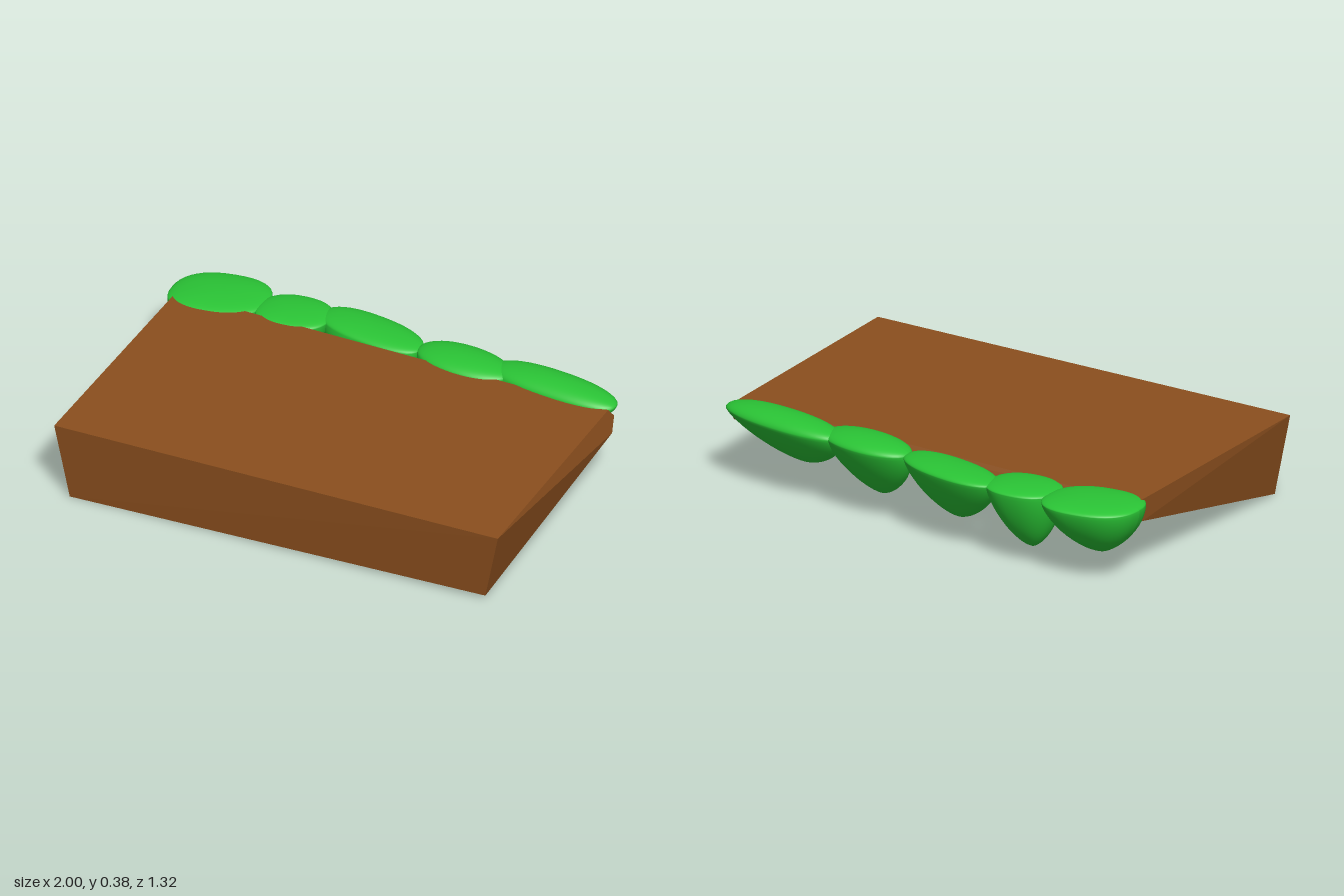
import * as THREE from 'three';
import { ConvexGeometry } from 'three/addons/geometries/ConvexGeometry.js';

const soil = new THREE.MeshStandardMaterial({ color: 0x8b4f1e, flatShading: true });
const grass = new THREE.MeshStandardMaterial({ color: 0x2ac435 });

// Signed power, used to square off an ellipse
const spow = (v, p) => Math.sign(v) * Math.pow(Math.abs(v), p);

// Grass clump: shallow domed top, lower half tapering to an offset rounded tip
function makeClump({ x, z, rx, rz, skew, top, tip, square = 2 }) {
  const rimY = 0.333;
  const geo = new THREE.SphereGeometry(1, 40, 28);
  const pos = geo.attributes.position;
  for (let i = 0; i < pos.count; i++) {
    const h = THREE.MathUtils.clamp(pos.getY(i), -1, 1);
    const angle = Math.atan2(pos.getZ(i), pos.getX(i));
    const ring = Math.sqrt(1 - h * h);
    const r = h < 0 ? Math.pow(ring, 1.3) : ring;
    const drop = h < 0 ? Math.pow(-h, 1.3) : 0;
    const dx = rx * r * spow(Math.cos(angle), 2 / square);
    const dz = rz * r * spow(Math.sin(angle), 2 / square) + skew * dx;
    pos.setXYZ(
      i,
      x + dx + (tip[0] - x) * drop,
      h < 0 ? rimY + (tip[1] - rimY) * drop : rimY + (top - rimY) * h,
      z + dz + (tip[2] - z) * drop
    );
  }
  geo.computeVertexNormals();
  return new THREE.Mesh(geo, grass);
}

export function createModel() {
  const model = new THREE.Group();

  // Wedge-shaped slab, thick at the front and thin at the back
  const corners = [
    [-0.985, 0.35, 0.66], [-0.93, 0.003, 0.63], [-0.96, 0.345, -0.42], [-0.95, 0.295, -0.45], [-0.96, 0.25, -0.38],
    [0.97, 0.34, 0.605], [0.9, 0.025, 0.575], [0.97, 0.34, -0.42], [0.98, 0.295, -0.455], [0.995, 0.245, -0.405],
  ].map((p) => new THREE.Vector3(...p));
  const slab = new THREE.Mesh(new ConvexGeometry(corners), soil);
  slab.name = 'soilSlab';
  model.add(slab);

  // Row of overlapping grass clumps along the back edge
  const clumps = [
    { x: -0.8, z: -0.495, rx: 0.2, rz: 0.155, skew: -0.16, top: 0.362, tip: [-0.82, 0.12, -0.47], square: 2.4 },
    { x: -0.475, z: -0.51, rx: 0.155, rz: 0.122, skew: -0.08, top: 0.358, tip: [-0.5, 0.072, -0.485], square: 2.3 },
    { x: -0.135, z: -0.53, rx: 0.237, rz: 0.1, skew: 0.14, top: 0.364, tip: [-0.13, 0.11, -0.47], square: 2.3 },
    { x: 0.295, z: -0.488, rx: 0.21, rz: 0.105, skew: 0.06, top: 0.373, tip: [0.27, 0.1, -0.42], square: 2.1 },
    { x: 0.7, z: -0.488, rx: 0.287, rz: 0.092, skew: 0.09, top: 0.38, tip: [0.64, 0.155, -0.43], square: 2.3 },
  ];
  clumps.forEach((spec, i) => {
    const clump = makeClump(spec);
    clump.name = `grassClump${i + 1}`;
    model.add(clump);
  });

  return model;
}
